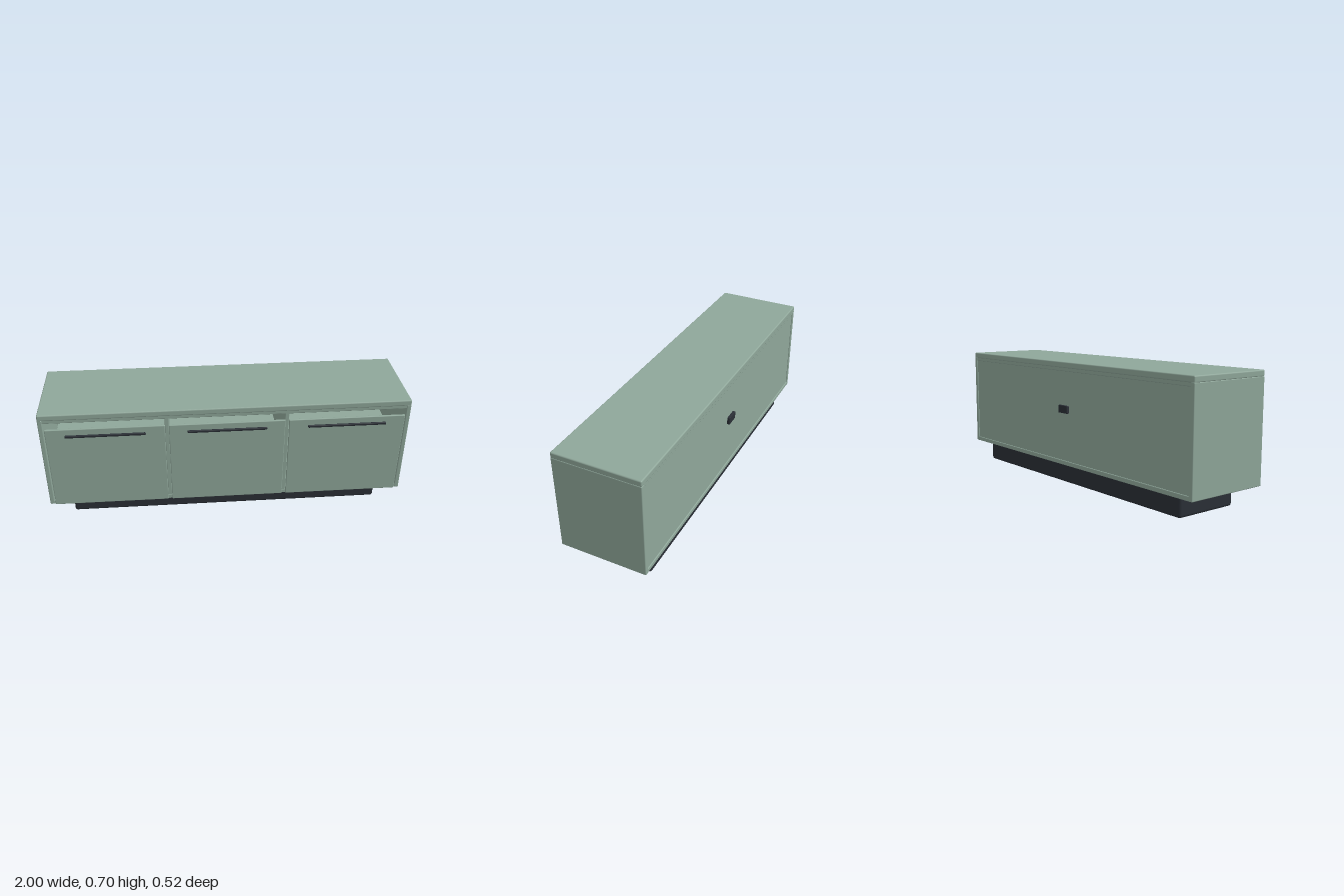
import * as THREE from 'three';
import { RoundedBoxGeometry } from 'three/addons/geometries/RoundedBoxGeometry.js';

const green = new THREE.MeshStandardMaterial({ color: 0x8fa79a });
const dark = new THREE.MeshStandardMaterial({ color: 0x2a2f36 });

// Rounded box given by its extents on each axis
function slab(name, [x0, x1], [y0, y1], [z0, z1], radius, material = green) {
  const geometry = new RoundedBoxGeometry(x1 - x0, y1 - y0, z1 - z0, 3, radius);
  const mesh = new THREE.Mesh(geometry, material);
  mesh.position.set((x0 + x1) / 2, (y0 + y1) / 2, (z0 + z1) / 2);
  mesh.name = name;
  return mesh;
}

export function createModel() {
  const model = new THREE.Group();
  model.name = 'sideboard';
  const depth = [-0.253, 0.239];

  // Recessed plinth
  model.add(slab('plinth', [-0.88, 0.88], [0, 0.114], [-0.21, 0.165], 0.015, dark));

  // Carcass: top, rail panel below it, floor and back
  model.add(slab('top', [-1, 1], [0.666, 0.7], depth, 0.007));
  model.add(slab('innerTop', [-0.99, 0.99], [0.648, 0.672], [-0.25, 0.236], 0.004));
  model.add(slab('floor', [-0.99, 0.99], [0.115, 0.14], [-0.252, 0.238], 0.004));
  model.add(slab('backPanel', [-0.985, 0.985], [0.125, 0.66], [-0.247, -0.235], 0.002));

  // Side panels and the dividers between the compartments
  for (const s of [-1, 1]) {
    const side = slab('sidePanel', [-0.0125, 0.0125], [0.115, 0.669], depth, 0.005);
    side.position.x = s * 0.9875;
    const divider = slab('divider', [-0.011, 0.011], [0.13, 0.655], [-0.24, 0.236], 0.003);
    divider.position.x = s * 0.3235;
    model.add(side, divider);
  }

  // Three compartments, each with a shelf, a door and a bar handle
  for (const [x, width] of [[-0.651, 0.634], [0, 0.626], [0.651, 0.634]]) {
    const bay = new THREE.Group();
    bay.name = 'compartment';
    bay.position.x = x;
    const h = width / 2;
    bay.add(slab('shelf', [-h - 0.005, h + 0.005], [0.365, 0.383], [-0.24, 0.21], 0.003));
    bay.add(slab('door', [-h, h], [0.122, 0.617], [0.239, 0.253], 0.004));
    bay.add(slab('handle', [-0.214, 0.214], [0.568, 0.582], [0.251, 0.263], 0.004, dark));
    model.add(bay);
  }

  // Cable outlet on the back
  model.add(slab('cableOutlet', [-0.04, 0.04], [0.414, 0.457], [-0.262, -0.245], 0.002, dark));

  return model;
}
